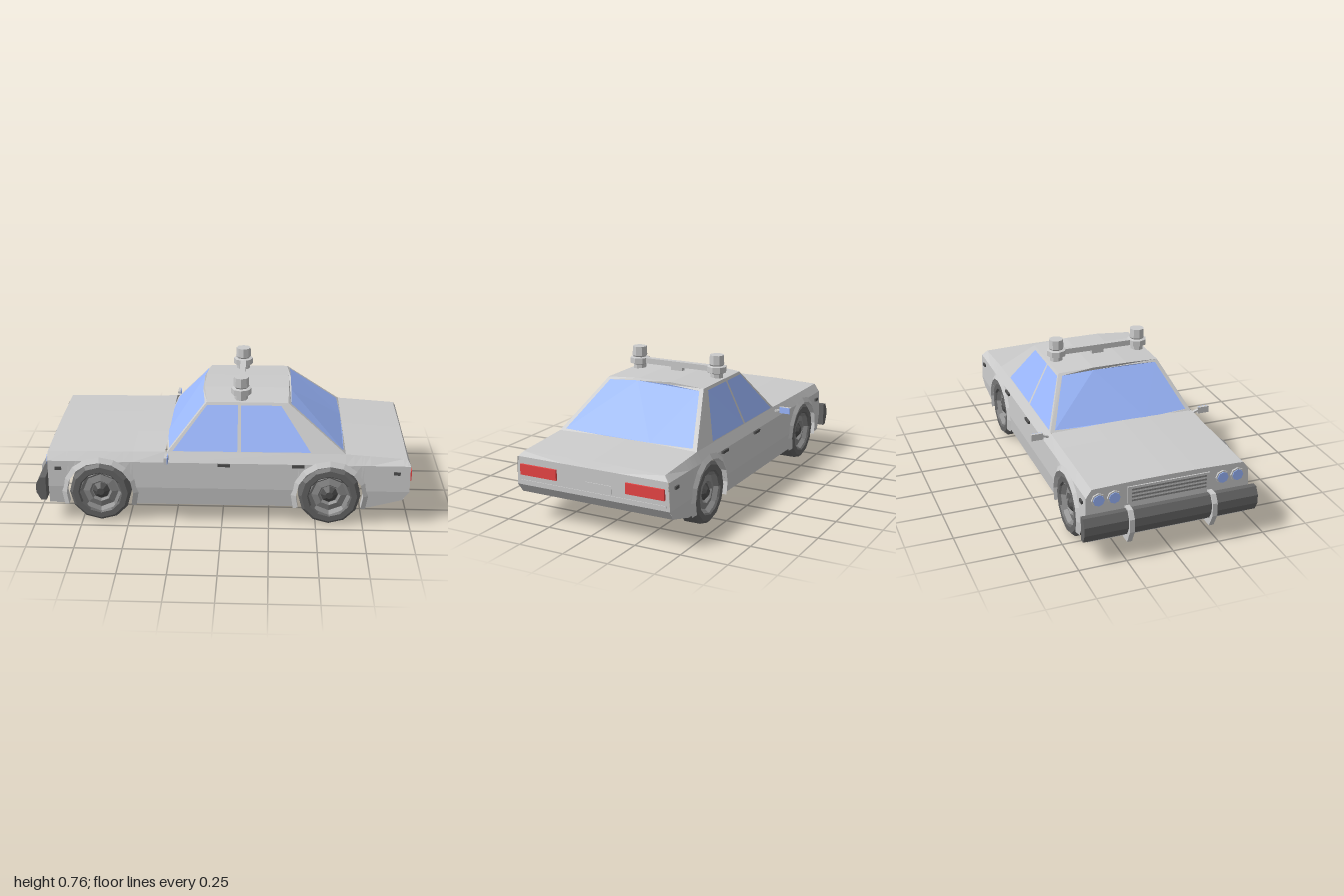
import * as THREE from 'three';

const mat = (color) => new THREE.MeshStandardMaterial({ color, flatShading: true, side: THREE.DoubleSide });
const GREY = mat(0xcccccc), TYRE = mat(0x666666), RIM = mat(0x888888), DARK = mat(0x505050);
const GLASS = mat(0x9bb8ff), RED = mat(0xe84545);

function add(parent, name, geometry, material, x = 0, y = 0, z = 0) {
  const mesh = new THREE.Mesh(geometry, material);
  mesh.name = name;
  mesh.position.set(x, y, z);
  parent.add(mesh);
  return mesh;
}

// Skin over rows of [x, y, z] points; skip(i, j) leaves a quad open.
function loft(rows, skip = () => false) {
  const pos = [];
  for (let i = 0; i < rows.length - 1; i++) {
    for (let j = 0; j < rows[i].length - 1; j++) {
      if (skip(i, j)) continue;
      const a = rows[i][j], b = rows[i + 1][j], c = rows[i + 1][j + 1], d = rows[i][j + 1];
      pos.push(...a, ...b, ...c, ...a, ...c, ...d);
    }
  }
  const g = new THREE.BufferGeometry();
  g.setAttribute('position', new THREE.Float32BufferAttribute(pos, 3));
  g.computeVertexNormals();
  return g;
}

const box = (x, y, z) => new THREE.BoxGeometry(x, y, z);
const points = (list) => list.map(([x, y]) => new THREE.Vector2(x, y));

// Run fn for both sides of the car; the second side is mirrored in z.
function bothSides(car, name, fn) {
  for (const s of [1, -1]) {
    const side = new THREE.Group();
    side.name = (s > 0 ? 'near' : 'far') + name;
    side.scale.z = s;
    fn(side);
    car.add(side);
  }
}

// Window panel: unit-square outline and holes mapped on four corners (bl, br, tr, tl), bowed outwards.
function windowPanel(parent, name, corners, holes, bow = [0, 0, 0]) {
  const [bl, br, tr, tl] = corners.map((p) => new THREE.Vector3(...p));
  const warp = (shape) => {
    const g = new THREE.ShapeGeometry(shape).toNonIndexed();
    const p = g.attributes.position;
    for (let i = 0; i < p.count; i++) {
      const u = p.getX(i), v = p.getY(i);
      const low = bl.clone().lerp(br, u), high = tl.clone().lerp(tr, u);
      const k = Math.min(1, 3 * Math.min(u, 1 - u));
      low.lerp(high, v).add(new THREE.Vector3(bow[0] * k, bow[1] * k * v, 0));
      p.setXYZ(i, low.x, low.y, low.z);
    }
    g.computeVertexNormals();
    return g;
  };
  const frame = new THREE.Shape(points([[0, 0], [1 / 3, 0], [2 / 3, 0], [1, 0], [1, 1], [2 / 3, 1], [1 / 3, 1], [0, 1]]));
  for (const h of holes) {
    frame.holes.push(new THREE.Path(points(h)));
    add(parent, name + 'Glass', warp(new THREE.Shape(points(h))), GLASS);
  }
  add(parent, name + 'Frame', warp(frame), GREY);
}

const AXLES = [-0.65, 0.57], AXLE_Y = 0.165, ARCH = 0.178;

function buildBody(car) {
  // Stations along x as [x, bottom height], with wheel openings
  const stations = [[-0.925, 0.1]];
  const arch = (cx) => {
    stations.push([cx - ARCH, 0.1]);
    for (let i = 0; i <= 8; i++) {
      const a = Math.PI * (1 - i / 8);
      stations.push([cx + ARCH * Math.cos(a), AXLE_Y + ARCH * Math.sin(a)]);
    }
    stations.push([cx + ARCH, 0.1]);
  };
  arch(AXLES[0]);
  stations.push([-0.3, 0.1]);
  arch(AXLES[1]);
  stations.splice(stations.findIndex(([x]) => x > 0.65), 0, [0.65, AXLE_Y + Math.sqrt(ARCH ** 2 - 0.08 ** 2)]);
  stations.push([0.78, 0.1], [0.955, 0.15], [0.975, 0.18], [0.99, 0.2]);

  const topAt = (x) => x < -0.3 ? 0.395 + (x + 0.3) * 0.01
    : x <= 0.65 ? 0.397 : x < 0.98 ? 0.397 - (x - 0.65) * 0.07 : 0.348;
  const section = ([x, low]) => {
    const top = topAt(x), end = x > 0.98;
    return [
      [x, low, low < 0.2 ? 0.43 + (low - 0.1) * 0.1 : 0.44],
      [x, Math.max(0.2, low), 0.44],
      [x, 0.345, 0.435],
      [x, top, end ? 0.43 : 0.405],
      [x, top + (end ? 0 : 0.007), 0.15],
      [x, top + (end ? 0 : 0.008), 0]];
  };
  const rows = stations.map(section);
  const cabin = (i, j) => j >= 3 && stations[i][0] >= -0.3 && stations[i + 1][0] <= 0.651;

  // Nose and tail are strips across the width
  const strip = (profile) => loft(profile.map(([x, y, z]) => [[x, y, z], [x, y, -z]]));
  add(car, 'nosePanel', strip([[-0.925, 0.1, 0.43], [-0.925, 0.2, 0.44], [-0.925, 0.345, 0.435],
    [-0.925, 0.389, 0.405], [-0.925, 0.396, 0.15]]), GREY);
  add(car, 'tailPanel', strip([[0.99, 0.348, 0.43], [0.99, 0.2, 0.44], [0.955, 0.15, 0.435], [0.78, 0.1, 0.43]]), GREY);

  bothSides(car, 'BodySide', (side) => {
    add(side, 'bodyShell', loft(rows, cabin), GREY);
    for (const cx of AXLES) {
      // Flared lip round each wheel opening
      const lip = [];
      for (let i = 0; i <= 10; i++) {
        const a = Math.PI + 0.36 - (Math.PI + 0.72) * i / 10;
        lip.push([[0.178, 0.4], [0.178, 0.452], [0.205, 0.437]].map(([r, z]) =>
          [cx + r * Math.cos(a), AXLE_Y + r * Math.sin(a), z]));
      }
      add(side, 'wheelArch', loft(lip), GREY);
    }
    for (const x of [0.01, 0.4]) add(side, 'doorHandle', box(0.065, 0.014, 0.014), DARK, x, 0.337, 0.44);
    for (const x of [-0.87, 0.92]) add(side, 'sideMarker', box(0.035, 0.016, 0.01), DARK, x, 0.305, 0.44);
    add(side, 'tailLight', box(0.012, 0.056, 0.215), RED, 0.994, 0.283, 0.307);

    // Door mirror on a short stalk
    const stalk = add(side, 'mirrorStalk', box(0.015, 0.01, 0.06), GREY, -0.29, 0.378, 0.425);
    stalk.rotation.x = -0.35;
    add(side, 'mirrorHousing', box(0.014, 0.036, 0.065), GREY, -0.292, 0.386, 0.479);
    add(side, 'mirrorGlass', box(0.004, 0.034, 0.062), GLASS, -0.283, 0.386, 0.479);

    // Paired round headlights
    for (const z of [0.29, 0.372]) {
      add(side, 'headlightRim', new THREE.CylinderGeometry(0.037, 0.037, 0.012, 8), GREY, -0.928, 0.328, z).rotation.z = Math.PI / 2;
      add(side, 'headlight', new THREE.CylinderGeometry(0.03, 0.03, 0.014, 8), GLASS, -0.931, 0.328, z).rotation.z = Math.PI / 2;
    }
  });
  add(car, 'numberPlate', box(0.006, 0.042, 0.148), GREY, 0.991, 0.256, -0.045);
  add(car, 'tailTrim', box(0.008, 0.01, 0.84), GREY, 0.99, 0.222, 0);
  add(car, 'grilleFrame', box(0.01, 0.09, 0.44), GREY, -0.927, 0.325, 0);
  for (let i = 0; i < 4; i++) add(car, 'grilleSlat', box(0.01, 0.01, 0.4), RIM, -0.931, 0.295 + i * 0.02, 0);
}

function buildCabin(car) {
  const roofF = [-0.085, 0.635, 0.287], roofR = [0.345, 0.635, 0.287];
  const baseF = [-0.29, 0.393, 0.405], baseR = [0.65, 0.397, 0.405];
  const flip = ([x, y, z]) => [x, y, -z];

  // Roof with a slight crown
  const roofRow = ([x, y, z], bow) => [[x, y, z], [x + bow, y + 0.014, z / 3], [x + bow, y + 0.014, -z / 3], [x, y, -z]];
  add(car, 'roof', loft([roofRow(roofF, -0.022), roofRow(roofR, 0.006)]), GREY);

  const pane = [[0.03, 0.04], [1 / 3, 0.03], [2 / 3, 0.03], [0.97, 0.04], [0.96, 0.95], [2 / 3, 0.96], [1 / 3, 0.96], [0.04, 0.95]];
  windowPanel(car, 'windshield', [flip(baseF), baseF, roofF, flip(roofF)], [pane], [-0.022, 0.014, 0]);
  windowPanel(car, 'rearWindow', [baseR, flip(baseR), flip(roofR), roofR], [pane], [0.006, 0.014, 0]);
  bothSides(car, 'CabinSide', (side) => windowPanel(side, 'sideWindow', [baseF, baseR, roofR, roofF], [
    [[0.025, 0.02], [0.393, 0.02], [0.385, 0.94], [0.03, 0.94]],
    [[0.413, 0.02], [0.81, 0.02], [0.88, 0.94], [0.42, 0.94]]]));
}

function buildWheels(car) {
  const tyre = [[0.11, -0.05], [0.118, -0.06], [0.148, -0.06], [0.165, -0.043], [0.165, 0.043], [0.148, 0.06], [0.118, 0.06], [0.11, 0.05]];
  const rim = [[0, -0.03], [0.1, -0.03], [0.112, -0.052], [0.112, 0.052], [0.095, 0.03], [0.06, 0.04], [0.05, 0.025], [0, 0.025]];
  bothSides(car, 'Wheels', (side) => {
    for (const x of AXLES) {
      const wheel = new THREE.Group();
      wheel.name = 'wheel';
      wheel.position.set(x, AXLE_Y, 0.382);
      wheel.rotation.x = Math.PI / 2;
      add(wheel, 'tyre', new THREE.LatheGeometry(points(tyre), 12), TYRE);
      add(wheel, 'rim', new THREE.LatheGeometry(points(rim), 8), RIM);
      add(wheel, 'hub', new THREE.CylinderGeometry(0.02, 0.05, 0.025, 8), DARK, 0, 0.035, 0);
      side.add(wheel);
    }
  });
}

// Prism along z from an x-y profile
function prism(profile, depth) {
  const g = new THREE.ExtrudeGeometry(new THREE.Shape(points(profile)), { depth, bevelEnabled: false });
  return g.translate(0, 0, -depth / 2);
}

function buildBumper(car) {
  const bar = [[-0.935, 0.13], [-0.965, 0.13], [-0.988, 0.175], [-0.988, 0.22], [-0.965, 0.26], [-0.935, 0.26]];
  add(car, 'frontBumper', prism(bar, 0.93), TYRE);
  const guard = [[-0.9, 0.083], [-0.965, 0.083], [-1, 0.155], [-1, 0.225], [-0.975, 0.268], [-0.92, 0.268], [-0.92, 0.1]];
  for (const z of [-0.222, 0.222]) add(car, 'bumperGuard', prism(guard, 0.026), GREY, 0, 0, z);
}

function buildLightBar(car) {
  const bar = new THREE.Group();
  bar.name = 'lightBar';
  bar.position.x = 0.095;
  add(bar, 'crossBar', box(0.032, 0.03, 0.42), GREY, 0, 0.683, 0);
  add(bar, 'centreFoot', box(0.03, 0.03, 0.07), GREY, 0, 0.66, 0);
  const beacon = [[0, 0.63], [0.036, 0.63], [0.036, 0.66], [0.054, 0.667], [0.054, 0.698], [0.036, 0.702], [0.042, 0.71], [0.04, 0.76], [0, 0.76]];
  for (const z of [-0.238, 0.238]) add(bar, 'beacon', new THREE.LatheGeometry(points(beacon), 8), GREY, 0, 0, z);
  car.add(bar);
}

export function createModel() {
  const car = new THREE.Group();
  car.name = 'patrolSaloon';
  buildBody(car);
  buildCabin(car);
  buildWheels(car);
  buildBumper(car);
  buildLightBar(car);
  return car;
}
